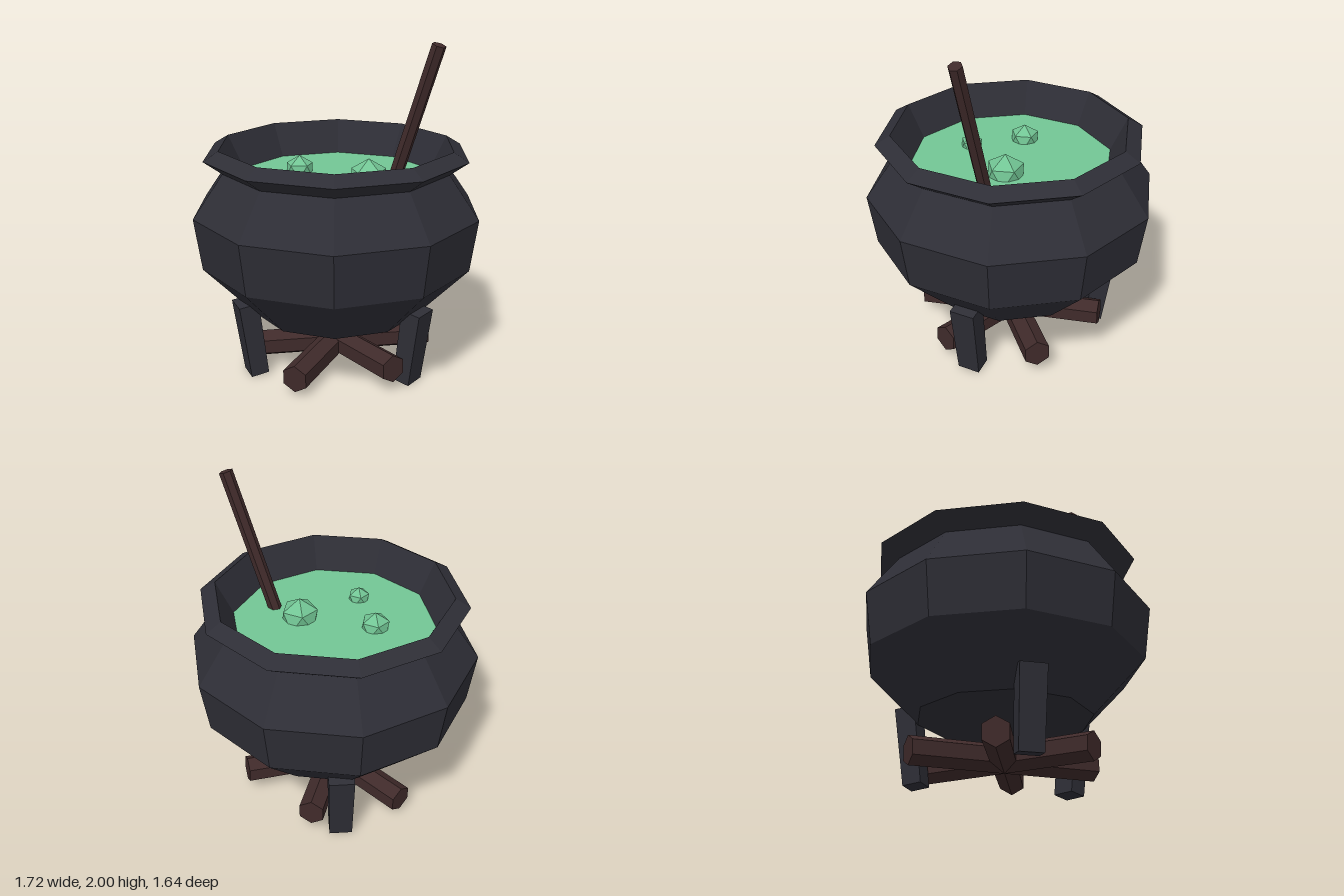
import * as THREE from 'three';

const material = (name, color) => {
  const m = new THREE.MeshStandardMaterial({ color });
  m.name = name;
  return m;
};

export function createModel() {
  const iron = material('dark iron', 0x2e2e36);
  const wood = material('dark wood', 0x3f2a2a);
  const brew = material('green brew', 0x72c594);

  const model = new THREE.Group();
  model.name = 'cauldron';

  // Adds a mesh with faceted normals
  const add = (parent, name, geometry, mat) => {
    const flat = geometry.index ? geometry.toNonIndexed() : geometry;
    flat.computeVertexNormals();
    const mesh = new THREE.Mesh(flat, mat);
    mesh.name = name;
    parent.add(mesh);
    return mesh;
  };

  // Ten-sided pot: base, belly, neck, flared rim and inner wall
  const profile = [
    [0, 0.355], [0.51, 0.355], [0.815, 0.67], [0.86, 0.98], [0.68, 1.235],
    [0.79, 1.315], [0.7, 1.37], [0.585, 1.14],
  ].map(([r, y]) => new THREE.Vector2(r, y));
  add(model, 'pot', new THREE.LatheGeometry(profile, 10, Math.PI / 2), iron);

  // Liquid surface with half-sunk bubbles
  const liquid = add(model, 'liquid', new THREE.CircleGeometry(0.6, 10).rotateX(-Math.PI / 2), brew);
  liquid.position.y = 1.17;
  for (const [x, z, r] of [[0.165, -0.115, 0.12], [-0.23, 0.11, 0.092], [0.055, 0.28, 0.07]]) {
    const ball = new THREE.IcosahedronGeometry(r, 0).rotateZ(-Math.atan(2 / (1 + Math.sqrt(5))));
    add(model, 'bubble', ball, brew).position.set(x, 1.175, z);
  }

  // Stirring stick leaning against the rim
  const top = new THREE.Vector3(0.622, 1.988, -0.225);
  const bottom = new THREE.Vector3(0.3, 1.0, -0.121);
  const lean = top.clone().sub(bottom);
  const stick = add(model, 'stirringStick',
    new THREE.CylinderGeometry(0.04, 0.04, lean.length(), 6, 1, false, Math.PI / 6), wood);
  stick.position.copy(top).add(bottom).multiplyScalar(0.5);
  stick.quaternion.setFromUnitVectors(new THREE.Vector3(0, 1, 0), lean.normalize());

  // Three tapered legs splayed outward at the top
  for (let i = 0; i < 3; i++) {
    const arm = new THREE.Group();
    arm.name = 'legMount';
    arm.rotation.y = -THREE.MathUtils.degToRad(102 + 120 * i);
    model.add(arm);
    const shape = new THREE.CylinderGeometry(Math.SQRT1_2, 0.9 * Math.SQRT1_2, 0.46, 4)
      .rotateY(Math.PI / 4).scale(0.12, 1, 0.152);
    const leg = add(arm, 'leg', shape, iron);
    leg.position.set(0.555, 0.235, 0);
    leg.rotation.z = -0.133;
  }

  // Three firewood logs crossing under the pot
  for (let i = 0; i < 3; i++) {
    const pivot = new THREE.Group();
    pivot.name = 'logPivot';
    pivot.rotation.y = i * Math.PI / 3;
    model.add(pivot);
    const log = add(pivot, 'log',
      new THREE.CylinderGeometry(0.083, 0.083, 1.14, 6, 1, false, Math.PI / 6).rotateZ(-Math.PI / 2), wood);
    log.position.y = 0.125;
    log.rotation.z = 0.035;
  }

  return model;
}
